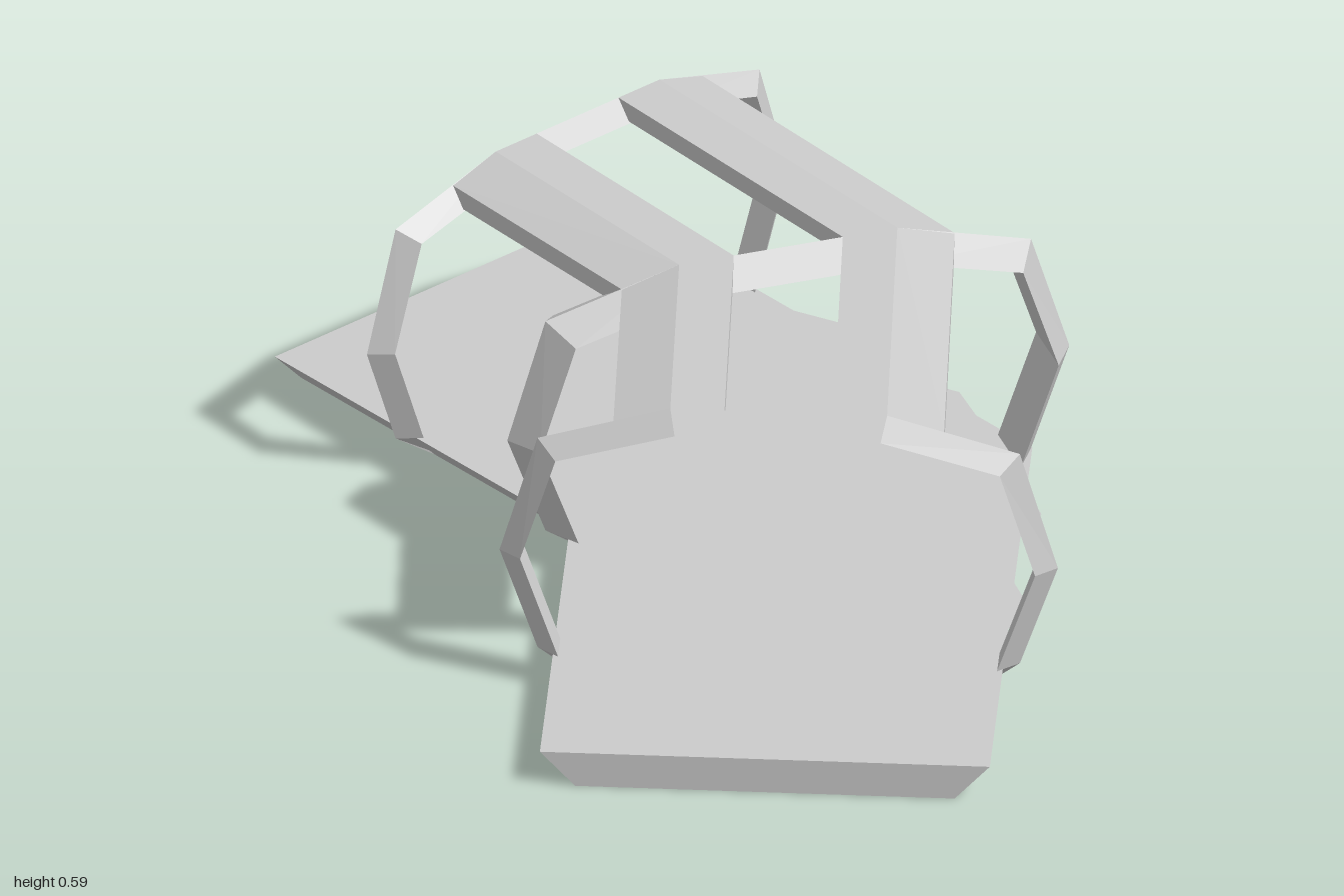
import * as THREE from 'three';
import { ConvexGeometry } from 'three/addons/geometries/ConvexGeometry.js';

const grey = new THREE.MeshStandardMaterial({ color: 0xcccccc, flatShading: true });
const BEND = new THREE.Vector3(0.24, 0, 0);
const TURN = Math.PI / 4;
const MITRE = 1 / Math.cos(TURN / 2);

// A cross-section frame on the bent centre line: u across, y up, w towards the front.
function station(angle, distance, scale = 1, shift = 0) {
  const across = new THREE.Vector3(Math.cos(angle), 0, -Math.sin(angle));
  const along = new THREE.Vector3(Math.sin(angle), 0, Math.cos(angle));
  return (u, y, w = 0) => BEND.clone()
    .addScaledVector(across, u * scale + shift)
    .addScaledVector(along, distance + w)
    .setY(y);
}
const front = (d) => station(0, d);
const back = (d) => station(TURN, -d);

// Joins rings of points into a closed solid with end caps.
function loft(rings) {
  const n = rings[0].length, pos = [];
  const tri = (...pts) => pts.forEach((p) => pos.push(p.x, p.y, p.z));
  for (let r = 0; r < rings.length - 1; r++) {
    for (let i = 0; i < n; i++) {
      const j = (i + 1) % n;
      const a = rings[r][i], b = rings[r][j], c = rings[r + 1][j], d = rings[r + 1][i];
      tri(a, d, c);
      tri(a, c, b);
    }
  }
  const first = rings[0], last = rings[rings.length - 1];
  for (let i = 1; i < n - 1; i++) {
    tri(first[0], first[i], first[i + 1]);
    tri(last[0], last[i + 1], last[i]);
  }
  const geo = new THREE.BufferGeometry();
  geo.setAttribute('position', new THREE.Float32BufferAttribute(pos, 3));
  geo.computeVertexNormals();
  return geo;
}

export function createModel() {
  const group = new THREE.Group();
  const add = (name, geo) => {
    const mesh = new THREE.Mesh(geo, grey);
    mesh.name = name;
    group.add(mesh);
  };

  // Bent floor slab, narrower underneath
  const slab = [[-0.35, 0], [0.35, 0], [0.415, 0.07], [-0.415, 0.07]];
  const slabStations = [front(1), station(TURN / 2, 0, MITRE), back(0.997)];
  add('floor', loft(slabStations.map((at) => slab.map(([u, y]) => at(u, y)))));

  // Small wedges along the outer edge of the floor
  for (const place of [front, back]) {
    for (const s of [0.41, 0.07]) {
      const at = place(s);
      add('edgeWedge', new ConvexGeometry([
        at(0.415, 0.07, -0.085), at(0.415, 0.07, 0.085), at(0.448, 0.07), at(0.35, 0),
      ]));
    }
  }

  // Hoops with a triangular section: [ridge u, ridge y, base u, base y, width factor]
  const half = [
    [0.35, 0, 0.346, 0.002, 0.03],
    [0.445, 0.07, 0.405, 0.07, 1],
    [0.515, 0.275, 0.475, 0.275, 1],
    [0.445, 0.515, 0.41, 0.485, 1],
    [0.2, 0.587, 0.19, 0.547, 1],
  ];
  const arch = [
    ...half.map(([a, b, c, d, f]) => [-a, b, -c, d, f]),
    ...half.slice().reverse(),
  ];
  const hoop = (name, at, t) => add(name, loft(arch.map(([ru, ry, bu, by, f]) =>
    [at(ru, ry), at(bu, by, -t * f), at(bu, by, t * f)])));
  const middle = station(TURN / 2, 0, 1.06, -0.025);
  hoop('frontHoop', front(0.617), 0.033);
  hoop('middleHoop', middle, 0.065);
  hoop('backHoop', back(0.625), 0.033);

  // Two creased roof beams running over the hoops
  const beam = [[0.2, 0.55], [0.305, 0.518], [0.305, 0.555], [0.2, 0.587], [0.1, 0.587], [0.1, 0.55]];
  const mirrored = [beam[0], ...beam.slice(1).reverse()].map(([u, y]) => [-u, y]);
  const beamStations = [front(0.617), middle, back(0.625)];
  for (const [name, section] of [['rightRoofBeam', mirrored], ['leftRoofBeam', beam]]) {
    add(name, loft(beamStations.map((at) => section.map(([u, y]) => at(u, y)))));
  }
  return group;
}
